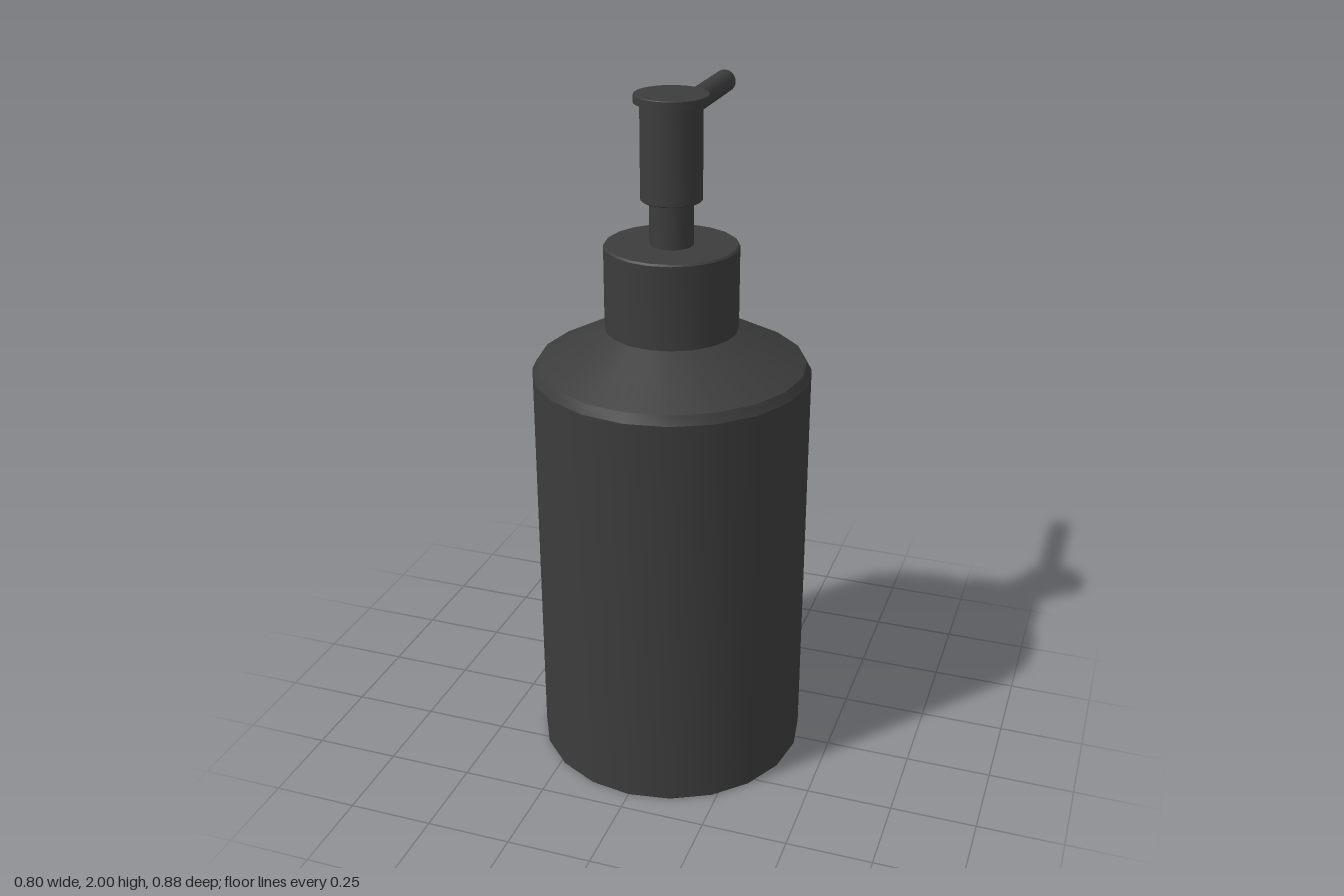
import * as THREE from 'three';
import { toCreasedNormals } from 'three/addons/utils/BufferGeometryUtils.js';

export function createModel() {
  const model = new THREE.Group();
  model.name = 'soapDispenser';
  const material = new THREE.MeshStandardMaterial({ color: 0x3c3c3c });
  const axisZ = 0.04; // the bottle axis sits forward, balancing the spout

  // Turned part from a [radius, height] profile, listed bottom to top
  function turned(name, sides, profile) {
    const points = profile.map(([r, y]) => new THREE.Vector2(r, y));
    const geometry = toCreasedNormals(new THREE.LatheGeometry(points, sides), 0.4);
    const mesh = new THREE.Mesh(geometry, material);
    mesh.name = name;
    mesh.position.z = axisZ;
    model.add(mesh);
  }

  // Bottle with bevelled shoulder edge and sloping shoulder
  turned('bottle', 20, [
    [0, 0], [0.397, 0], [0.4, 0.004], [0.4, 1.21], [0.386, 1.237], [0.19, 1.34], [0, 1.34],
  ]);

  // Screw collar
  turned('collar', 20, [[0, 1.33], [0.19, 1.33], [0.19, 1.58], [0.185, 1.585], [0, 1.585]]);

  // Pump: stem, head and pressing cap
  turned('stem', 32, [[0, 1.58], [0.062, 1.58], [0.062, 1.72], [0, 1.72]]);
  turned('pumpHead', 32, [[0, 1.71], [0.083, 1.71], [0.086, 1.713], [0.086, 1.98], [0, 1.98]]);
  turned('pressCap', 32, [[0, 1.977], [0.103, 1.977], [0.103, 1.998], [0.101, 2], [0, 2]]);

  // Straight spout reaching to the back from inside the head
  const spoutBack = -0.44;
  const spoutLength = axisZ - spoutBack;
  const spout = new THREE.Mesh(new THREE.CylinderGeometry(0.033, 0.033, spoutLength, 24), material);
  spout.name = 'spout';
  spout.rotation.x = Math.PI / 2;
  spout.position.set(0, 1.937, (axisZ + spoutBack) / 2);
  model.add(spout);

  return model;
}
